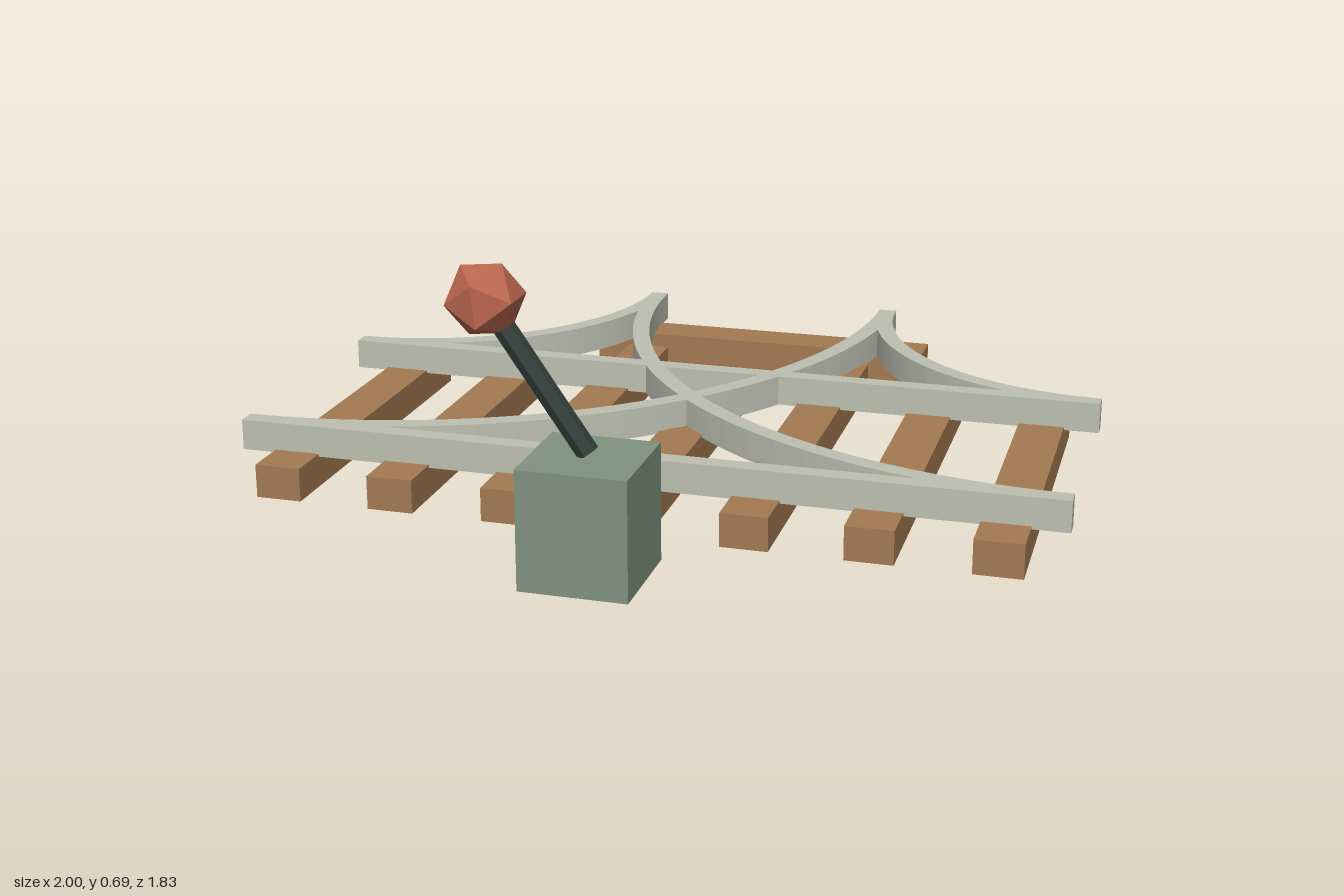
import * as THREE from 'three';

const mat = (color) => new THREE.MeshStandardMaterial({ color, flatShading: true });

export function createModel() {
  const group = new THREE.Group();
  const wood = mat(0xa47a52);
  const steel = mat(0xbec0b2);
  const green = mat(0x80927f);
  const dark = mat(0x333e3b);
  const red = mat(0xb9654e);

  const add = (name, geometry, material, x, y, z) => {
    const mesh = new THREE.Mesh(geometry, material);
    mesh.name = name;
    mesh.position.set(x, y, z);
    group.add(mesh);
    return mesh;
  };

  // Sleepers: flush at the front, staggered at the back
  const tieW = 0.113, tieH = 0.082, tieFront = 0.558;
  const addSleeper = (x, back) => add('sleeper',
    new THREE.BoxGeometry(tieW, tieH, tieFront - back), wood, x, tieH / 2, (tieFront + back) / 2);
  addSleeper(0, -0.388);
  for (const s of [-1, 1]) {
    addSleeper(s * 0.286, -0.612);
    addSleeper(s * 0.571, -0.552);
    addSleeper(s * 0.857, -0.401);
  }
  add('crossSleeper', new THREE.BoxGeometry(0.94, tieH, tieW), wood, 0, tieH / 2, -0.784);

  // Straight rails
  const railW = 0.046, railH = 0.076, railY = 0.075;
  const backEnd = -0.913, railZ = [-0.254, 0.426];
  for (const z of railZ) {
    add('straightRail', new THREE.BoxGeometry(2, railH, railW), steel, 0, railY + railH / 2, z);
  }

  // Curved rails: quarter rings centred on the two back corners
  for (const s of [-1, 1]) {
    for (const z of railZ) {
      const r = z - backEnd;
      const start = s > 0 ? Math.PI : Math.PI * 1.5;
      const ring = new THREE.Shape();
      ring.absarc(0, 0, r + railW / 2, start, start + Math.PI / 2, false);
      ring.absarc(0, 0, r - railW / 2, start + Math.PI / 2, start, true);
      const geometry = new THREE.ExtrudeGeometry(ring,
        { depth: railH, bevelEnabled: false, curveSegments: 24 });
      geometry.rotateX(-Math.PI / 2);
      add('curvedRail', geometry, steel, s, railY, backEnd);
    }
  }

  // Switch box, tilted lever and faceted knob
  const boxH = 0.277, leverZ = 0.788;
  add('switchBox', new THREE.BoxGeometry(0.25, boxH, 0.249), green, 0, boxH / 2, leverZ);

  const base = new THREE.Vector3(0, 0.283, leverZ);
  const top = new THREE.Vector3(-0.226, 0.609, leverZ);
  const mid = base.clone().lerp(top, 0.5);
  const lever = add('lever', new THREE.CylinderGeometry(0.025, 0.025, base.distanceTo(top), 6),
    dark, mid.x, mid.y, mid.z);
  lever.rotation.z = Math.atan2(base.x - top.x, top.y - base.y);

  const knob = add('knob', new THREE.IcosahedronGeometry(0.09, 0), red, top.x, top.y, top.z);
  knob.rotation.z = 0.1;

  return group;
}
